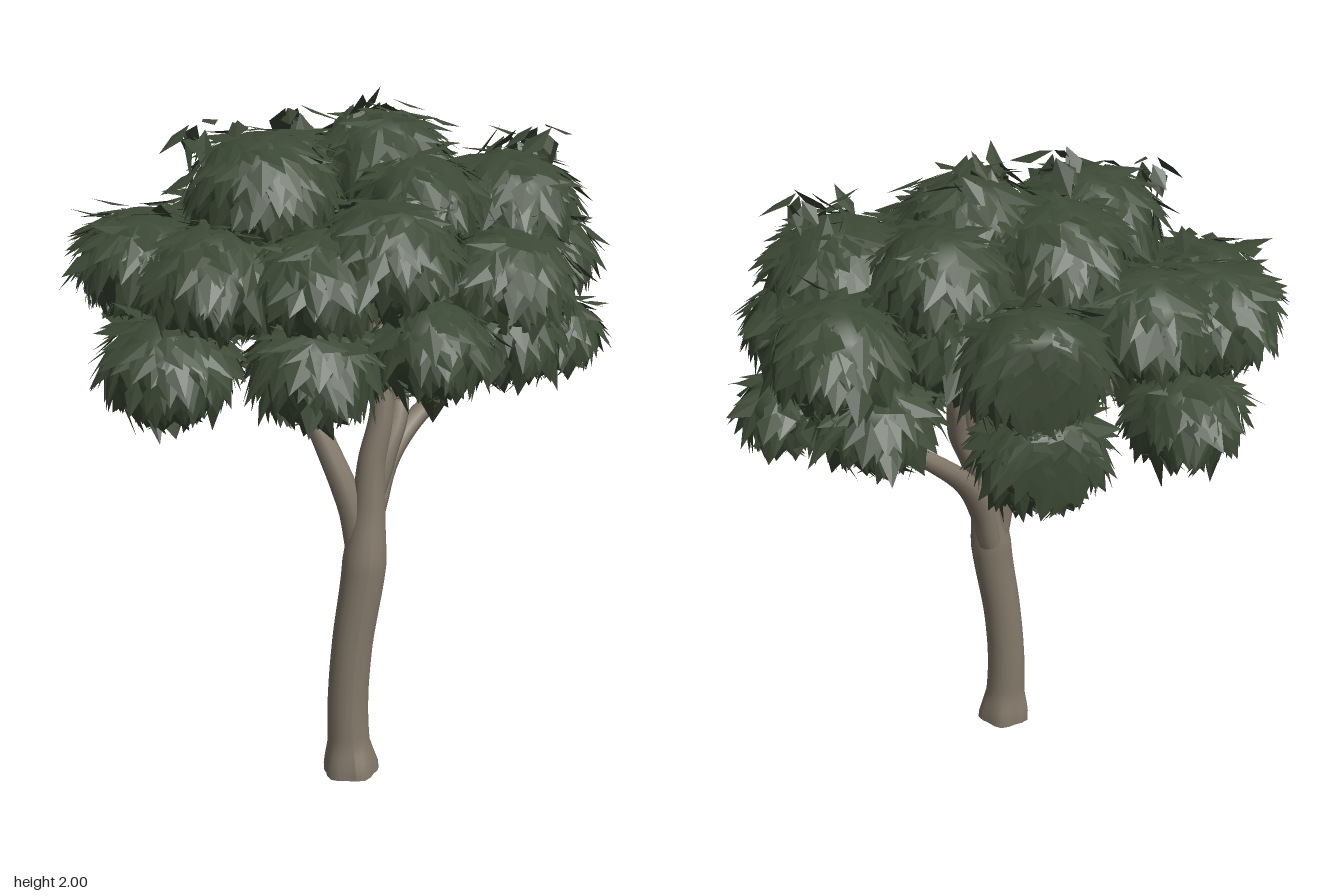
import * as THREE from 'three';
import { mergeGeometries } from 'three/addons/utils/BufferGeometryUtils.js';

const V = (x, y, z) => new THREE.Vector3(x, y, z);
// The rear of the crown is pressed almost flat
const pressBack = (z) => (z < -0.53 ? Math.max(-0.53 + (z + 0.53) * 0.2, -0.545) : z);

function seeded(seed) {
  return () => {
    seed = (seed + 0x6d2b79f5) | 0;
    let t = Math.imul(seed ^ (seed >>> 15), 1 | seed);
    t = (t + Math.imul(t ^ (t >>> 7), 61 | t)) ^ t;
    return ((t ^ (t >>> 14)) >>> 0) / 4294967296;
  };
}

// Tube through points whose radius follows a list of values
function taperedTube(points, radii, rings, sides) {
  const curve = new THREE.CatmullRomCurve3(points.map((p) => V(...p)));
  const g = new THREE.TubeGeometry(curve, rings, 1, sides, false);
  const pos = g.attributes.position, v = V(0, 0, 0);
  for (let i = 0; i <= rings; i++) {
    const t = i / rings, centre = curve.getPointAt(t);
    const f = t * (radii.length - 1), k = Math.min(Math.floor(f), radii.length - 2);
    const r = THREE.MathUtils.lerp(radii[k], radii[k + 1], f - k);
    for (let j = 0; j <= sides; j++) {
      const n = i * (sides + 1) + j;
      v.fromBufferAttribute(pos, n).sub(centre).multiplyScalar(r).add(centre);
      pos.setXYZ(n, v.x, v.y, v.z);
    }
  }
  return g;
}

// Folded pointed leaves draped over an ellipsoid, tips hanging down
function leafShell(c, rx, ry, count, rand) {
  const out = [];
  const push = (...pts) => pts.forEach((p) => out.push(p.x, p.y, pressBack(p.z)));
  for (let i = 0; i < count; i++) {
    const up = 1 - 2 * (i + 0.5) / count;
    const a = i * 2.39996 + rand() * 0.5, s = Math.sqrt(1 - up * up);
    const dir = V(s * Math.cos(a), up, s * Math.sin(a));
    const n = V(dir.x / rx, dir.y / ry, dir.z / rx).normalize();
    const swell = 0.95 + rand() * 0.07;
    const base = V(dir.x * rx, dir.y * ry, dir.z * rx).multiplyScalar(swell).add(c);
    const d = V(rand() - 0.5, -0.9 + (rand() - 0.5) * 0.5, rand() - 0.5);
    d.addScaledVector(n, -d.dot(n)).normalize();
    // a few stray leaves stick out of the clump
    const lift = rand() < 0.06 ? 0.3 + rand() * 0.5 : rand() * 0.1 - 0.02;
    d.addScaledVector(n, lift).normalize();
    const side = d.clone().cross(n).normalize();
    const face = side.clone().cross(d).normalize();
    const len = 0.085 + rand() * 0.06, w = len * (0.21 + rand() * 0.1);
    const tip = base.clone().addScaledVector(d, len);
    const mid = base.clone().addScaledVector(d, len * 0.42).addScaledVector(face, -w * 0.15);
    const right = mid.clone().addScaledVector(side, w);
    const left = mid.clone().addScaledVector(side, -w);
    push(base, right, tip, base, tip, left);
  }
  const g = new THREE.BufferGeometry();
  g.setAttribute('position', new THREE.Float32BufferAttribute(out, 3));
  g.computeVertexNormals();
  return g;
}

// Solid heart of a clump
function clumpCore(c, rx, ry) {
  const g = new THREE.SphereGeometry(1, 18, 12);
  g.scale(rx * 0.95, ry * 0.95, rx * 0.95).translate(c.x, c.y, c.z);
  const p = g.attributes.position;
  for (let i = 0; i < p.count; i++) p.setZ(i, Math.max(p.getZ(i), -0.525));
  g.computeVertexNormals();
  const plain = g.toNonIndexed();
  plain.deleteAttribute('uv');
  return plain;
}

export function createModel() {
  const tree = new THREE.Group();
  tree.name = 'tree';
  const bark = new THREE.MeshStandardMaterial({ color: 0x83796a, side: THREE.DoubleSide });
  bark.name = 'bark';
  const leaf = new THREE.MeshStandardMaterial({ color: 0x3c4835, side: THREE.DoubleSide });
  leaf.name = 'leaf green';
  const add = (name, geometry, material, parent = tree) => {
    const m = new THREE.Mesh(geometry, material);
    m.name = name;
    parent.add(m);
  };

  // Trunk, running on into the leading limb
  const trunk = taperedTube(
    [[-0.035, 0, 0.25], [-0.043, 0.2, 0.246], [-0.03, 0.4, 0.246], [0.003, 0.62, 0.244], [0.02, 0.8, 0.235],
      [0.03, 0.95, 0.23], [0.06, 1.1, 0.225], [0.05, 1.3, 0.21], [0.06, 1.45, 0.18]],
    [0.066, 0.062, 0.06, 0.06, 0.062, 0.065, 0.05, 0.042, 0.036, 0.03, 0.026, 0.02], 60, 20);
  // Short flared, lobed foot, open underneath
  const p = trunk.attributes.position;
  for (let i = 0; i < p.count; i++) {
    const x = p.getX(i) + 0.035, z = p.getZ(i) - 0.25, y = p.getY(i);
    if (y > 0.1) continue;
    const k = 1 + Math.min(1, 1.4 * Math.max(0, 1 - y / 0.1)) * (0.22 + 0.09 * Math.cos(5 * Math.atan2(z, x)));
    p.setXYZ(i, x * k - 0.035, Math.max(y, 0), z * k + 0.25);
  }
  trunk.computeVertexNormals();
  add('trunk', trunk, bark);

  // Limbs
  const limbs = {
    leftLimb: [[0.02, 0.68, 0.2], [0.05, 0.8, 0.17], [0.11, 0.93, 0.11], [0.23, 1.05, 0.04], [0.38, 1.15, 0.02], [0.5, 1.2, 0.04]],
    rightLimb: [[-0.012, 0.7, 0.23], [-0.03, 0.82, 0.225], [-0.08, 0.96, 0.2], [-0.14, 1.09, 0.16], [-0.25, 1.2, 0.08], [-0.43, 1.29, 0]],
    innerLimb: [[0.025, 0.82, 0.22], [0.075, 0.97, 0.2], [0.12, 1.07, 0.17], [0.14, 1.2, 0.12], [0.17, 1.36, 0.08]],
  };
  for (const [name, points] of Object.entries(limbs))
    add(name, taperedTube(points, [0.036, 0.04, 0.034, 0.029, 0.024, 0.012], 24, 10), bark);

  // Leaf clumps in three tiers: x, y, z, radius
  const tiers = {
    lowerClumps: [
      [-0.54, 1.26, 0.18, 0.18], [-0.15, 1.26, 0.29, 0.17], [0.18, 1.31, 0.32, 0.16], [0.65, 1.28, 0.02, 0.12],
      [0, 1.27, -0.42, 0.17], [-0.48, 1.25, -0.19, 0.16], [0.42, 1.33, 0.2, 0.17], [0.42, 1.31, -0.18, 0.16],
      [0.05, 1.42, -0.02, 0.15],
    ],
    middleClumps: [
      [-0.6, 1.54, 0.08, 0.16], [-0.42, 1.5, 0.2, 0.19], [0.06, 1.57, 0.29, 0.19], [0.42, 1.47, 0.2, 0.2],
      [0.57, 1.52, 0.03, 0.17], [0.02, 1.52, -0.41, 0.19], [-0.57, 1.52, -0.12, 0.18], [0.52, 1.52, -0.2, 0.18],
      [-0.34, 1.55, -0.21, 0.18], [-0.14, 1.5, 0.28, 0.18], [0.14, 1.52, -0.15, 0.2],
    ],
    upperClumps: [
      [-0.26, 1.74, 0.13, 0.2], [0.11, 1.8, 0, 0.17], [0.47, 1.66, 0.06, 0.2], [-0.12, 1.72, -0.1, 0.19],
      [0.22, 1.69, -0.14, 0.18], [0.18, 1.69, 0.17, 0.17],
    ],
  };
  const rand = seeded(7);
  for (const [tier, clumps] of Object.entries(tiers)) {
    const group = new THREE.Group();
    group.name = tier;
    tree.add(group);
    clumps.forEach(([x, y, z, r], i) => {
      const c = V(x, y, z), ry = r * 0.82;
      const count = Math.round(8500 * r * r);
      add(`leafClump${i + 1}`, mergeGeometries([clumpCore(c, r, ry), leafShell(c, r, ry, count, rand)]), leaf, group);
    });
  }

  // Loose sprigs above the crown
  const sprigs = [[-0.44, 1.9, 0.1], [-0.16, 1.94, 0.08], [0.05, 1.94, 0], [0.14, 1.94, -0.06], [0.22, 1.9, 0.02], [0.5, 1.84, 0], [0.57, 1.87, 0.05]];
  add('crownSprigs', mergeGeometries(sprigs.map(([x, y, z]) => leafShell(V(x, y, z), 0.035, 0.025, 8, rand))), leaf);
  return tree;
}
